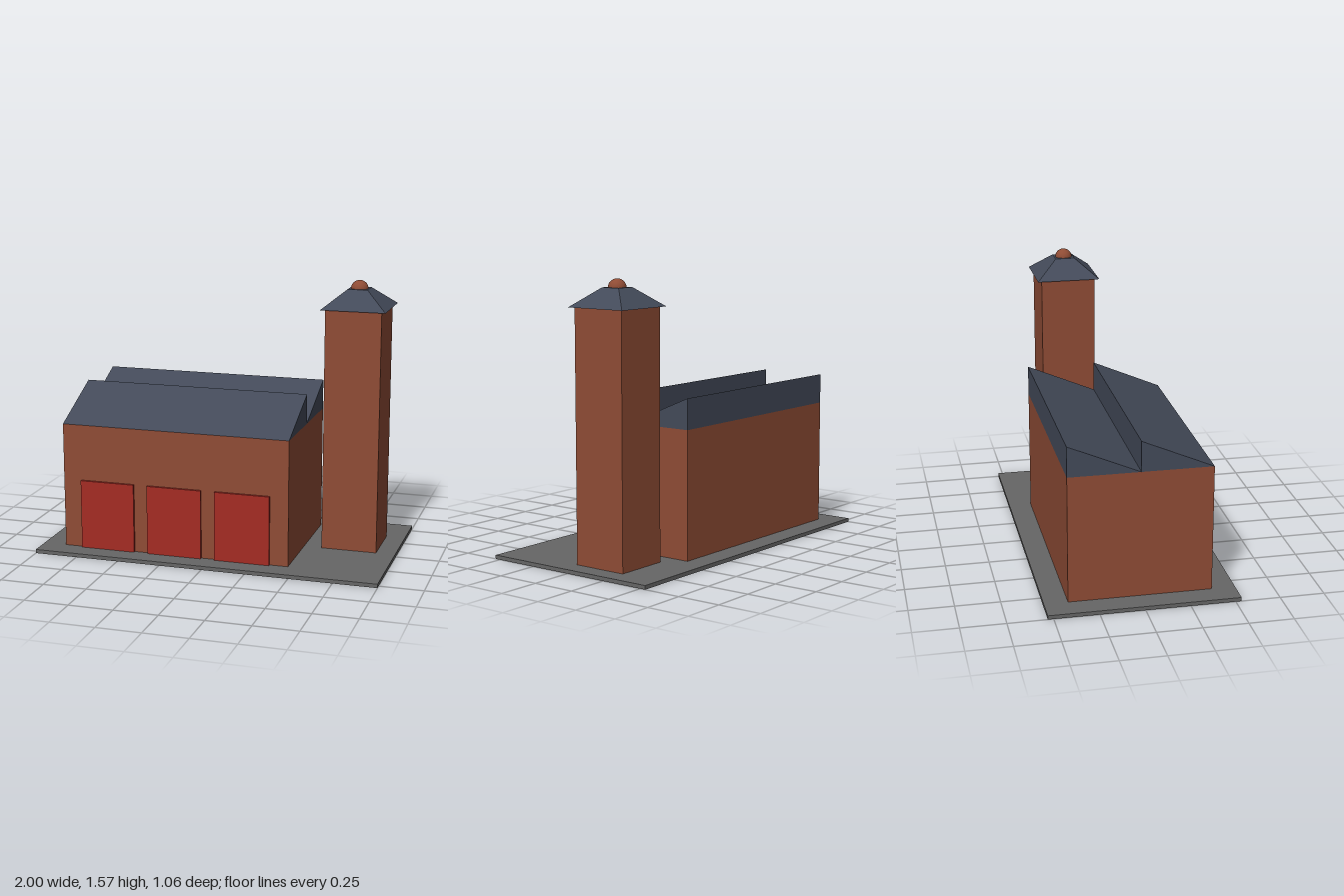
import * as THREE from 'three';

const material = (name, color) => {
  const m = new THREE.MeshStandardMaterial({ color });
  m.name = name;
  return m;
};

export function createModel() {
  const brick = material('brick', 0x8f4c35);
  const slate = material('slate', 0x434a59);
  const doorRed = material('doorRed', 0xa52c24);
  const concrete = material('concrete', 0x666666);

  const model = new THREE.Group();
  model.name = 'fireStation';

  const add = (name, geometry, mat, x, y, z) => {
    const mesh = new THREE.Mesh(geometry, mat);
    mesh.name = name;
    mesh.position.set(x, y, z);
    model.add(mesh);
    return mesh;
  };
  // Box placed by its bottom centre
  const box = (name, mat, w, h, d, x, y, z) =>
    add(name, new THREE.BoxGeometry(w, h, d), mat, x, y + h / 2, z);

  // Ground slab and main hall
  const hallX = -0.2, hallW = 1.333, eaves = 0.747, ridge = 0.92;
  box('base', concrete, 2, 0.022, 1.064, 0, 0, 0);
  box('hall', brick, hallW, eaves - 0.022, 0.8, hallX, 0.022, 0);

  // Sawtooth roof: two teeth sloping up towards the back
  const profile = new THREE.Shape();
  profile.moveTo(-0.4, eaves);
  profile.lineTo(0.4, eaves);
  profile.lineTo(0.4, ridge);
  profile.lineTo(0, eaves + 0.0005);
  profile.lineTo(0, ridge);
  profile.closePath();
  const roof = new THREE.ExtrudeGeometry(profile, { depth: hallW, bevelEnabled: false });
  roof.rotateY(Math.PI / 2);
  add('sawtoothRoof', roof, slate, hallX - hallW / 2, 0, 0);

  // Three bay doors
  for (let i = -1; i <= 1; i++) {
    box('bayDoor', doorRed, 0.32, 0.4, 0.016, hallX + i * 0.4, 0.022, 0.407);
  }

  // Tower with truncated pyramid cap and dome
  const towerX = 0.73, towerZ = -0.133;
  box('tower', brick, 0.32, 1.395, 0.32, towerX, 0.022, towerZ);
  const cap = new THREE.CylinderGeometry(0.057 * Math.SQRT2, 0.185 * Math.SQRT2, 0.104, 4).toNonIndexed();
  cap.rotateY(Math.PI / 4);
  cap.computeVertexNormals();
  add('towerCap', cap, slate, towerX, 1.468, towerZ);
  add('towerDome', new THREE.SphereGeometry(0.05, 20, 14), brick, towerX, 1.517, towerZ);

  return model;
}
